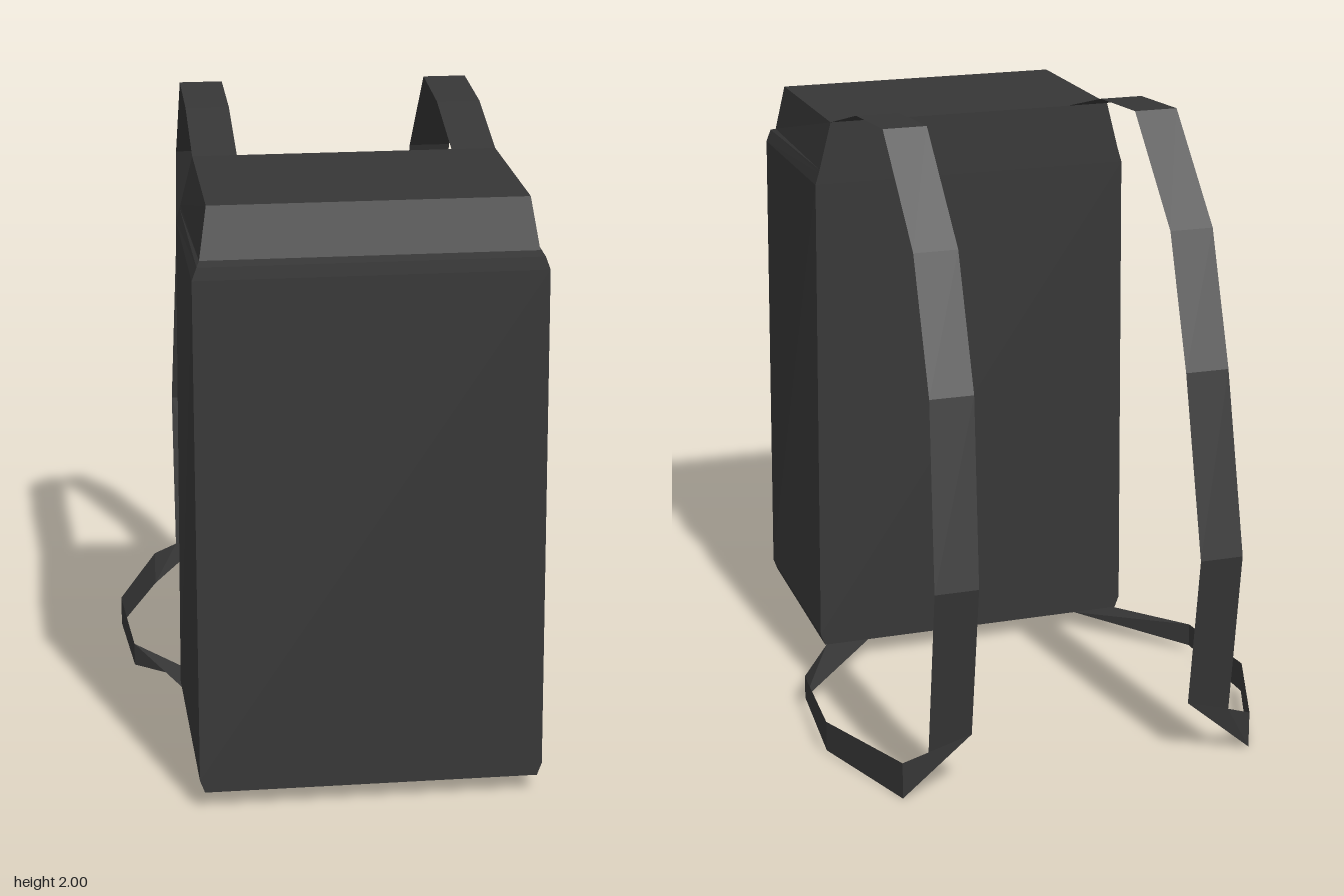
import * as THREE from 'three';

const fabric = new THREE.MeshStandardMaterial({ color: 0x363636, side: THREE.DoubleSide, flatShading: true });
fabric.name = 'charcoal fabric';

// Turns a list of quads [a, b, c, d] into a faceted mesh
function quadMesh(quads, name) {
  const points = quads.flatMap(([a, b, c, d]) => [a, b, c, a, c, d]).flat();
  const geometry = new THREE.BufferGeometry();
  geometry.setAttribute('position', new THREE.Float32BufferAttribute(points, 3));
  geometry.computeVertexNormals();
  const mesh = new THREE.Mesh(geometry, fabric);
  mesh.name = name;
  return mesh;
}

// Main bag: stacked four-corner sections with a flat back
function createBag() {
  const back = 0.22;
  const rings = [ // y, half width at back, half width at front, front z
    [0.06, 0.535, 0.52, 0.955],
    [0.10, 0.55, 0.535, 0.953],
    [1.69, 0.535, 0.53, 0.907],
    [1.73, 0.523, 0.515, 0.905],
    [1.74, 0.52, 0.505, 0.87],
    [1.895, 0.48, 0.48, 0.83],
  ].map(([y, wb, wf, zf]) => [[-wf, y, zf], [wf, y, zf], [wb, y, back], [-wb, y, back]]);

  const quads = [];
  for (let i = 0; i < rings.length - 1; i++) {
    const lo = rings[i], hi = rings[i + 1];
    for (let k = 0; k < 4; k++) {
      const n = (k + 1) % 4;
      quads.push([lo[k], lo[n], hi[n], hi[k]]);
    }
  }
  quads.push([...rings[0]].reverse(), rings[rings.length - 1]); // base and top
  return quadMesh(quads, 'bag');
}

// Shoulder strap: a thin ribbon given by pairs of inner and outer edge points
function createStrap(side, name) {
  const pairs = [
    // over the shoulder
    [[0.34, 1.895, 0.22], [0.48, 1.895, 0.22]],
    [[0.34, 1.98, -0.09], [0.48, 1.98, -0.09]],
    [[0.34, 2.0, -0.39], [0.48, 2.0, -0.39]],
    [[0.34, 1.69, -0.70], [0.48, 1.69, -0.70]],
    [[0.34, 1.28, -0.85], [0.48, 1.28, -0.85]],
    [[0.36, 0.70, -0.955], [0.50, 0.70, -0.955]],
    [[0.36, 0.19, -0.88], [0.50, 0.15, -0.88]],
    // turned on edge, sweeping back to the base
    [[0.58, 0.0, -0.868], [0.58, 0.12, -0.868]],
    [[0.72, 0.01, -0.485], [0.72, 0.11, -0.485]],
    [[0.69, 0.022, -0.10], [0.69, 0.10, -0.10]],
    [[0.38, 0.06, 0.22], [0.53, 0.06, 0.22]],
  ].map((pair) => pair.map(([x, y, z]) => [side * x, y, z]));

  const quads = [];
  for (let i = 0; i < pairs.length - 1; i++) {
    const [a, b] = pairs[i], [d, c] = pairs[i + 1];
    quads.push(side > 0 ? [a, b, c, d] : [b, a, d, c]);
  }
  return quadMesh(quads, name);
}

export function createModel() {
  const model = new THREE.Group();
  model.name = 'backpack';
  model.add(createBag(), createStrap(1, 'leftStrap'), createStrap(-1, 'rightStrap'));
  return model;
}
